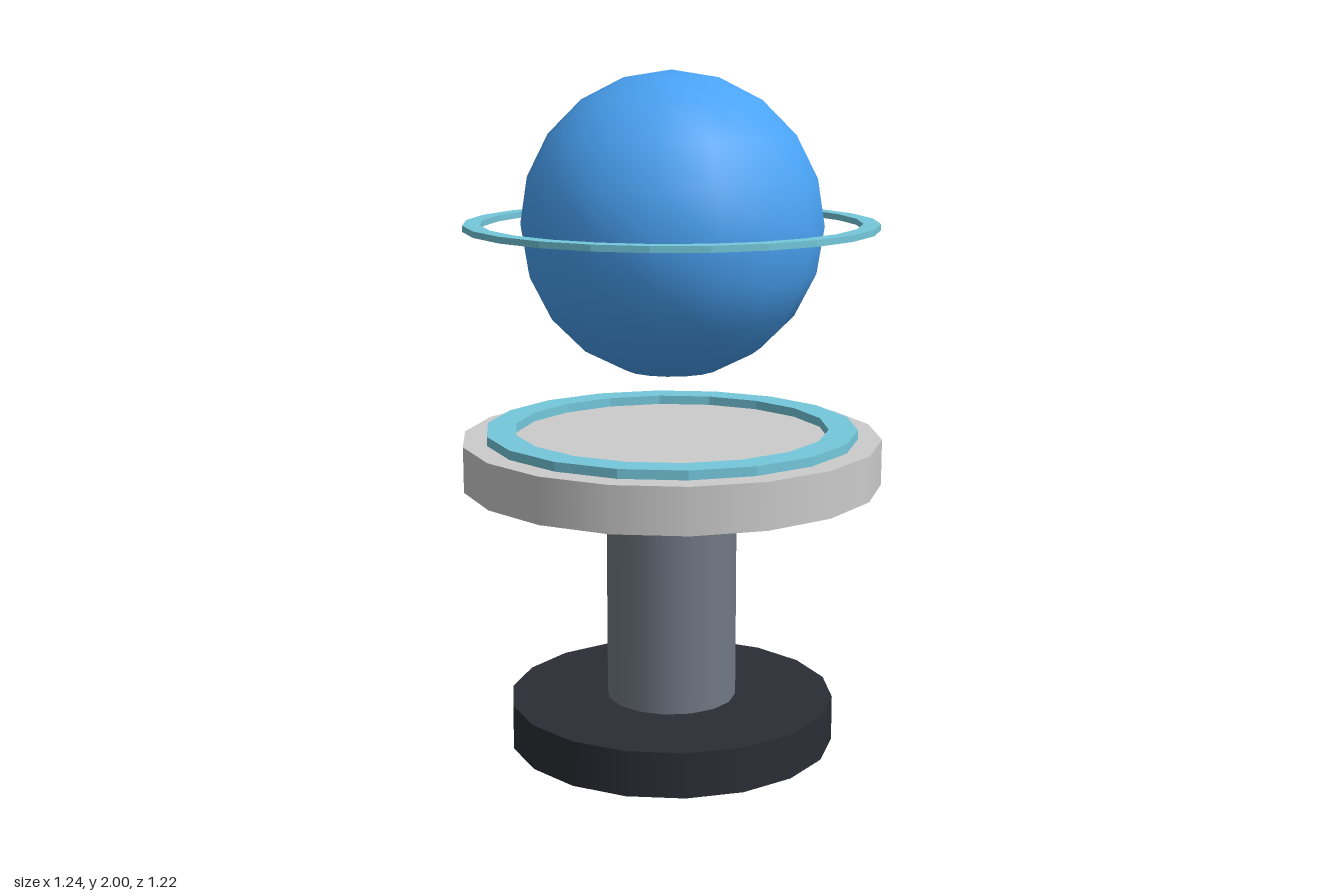
import * as THREE from 'three';

export function createModel() {
  const model = new THREE.Group();

  const add = (name, geometry, color, y) => {
    const mesh = new THREE.Mesh(geometry, new THREE.MeshStandardMaterial({ color }));
    mesh.name = name;
    mesh.position.y = y;
    model.add(mesh);
  };

  // Upright disc or column standing on y = 0, with a corner on the x axis
  const disc = (radius, height, sides) =>
    new THREE.CylinderGeometry(radius, radius, height, sides)
      .rotateY(Math.PI / 2)
      .translate(0, height / 2, 0);

  // Flat ring with a square section lying on y = 0
  const ring = (outer, inner, height, sides) => {
    const shape = new THREE.Shape().absarc(0, 0, outer, 0, Math.PI * 2, false);
    shape.holes.push(new THREE.Path().absarc(0, 0, inner, 0, Math.PI * 2, true));
    // full arcs get twice the curveSegments
    return new THREE.ExtrudeGeometry(shape, {
      depth: height, bevelEnabled: false, curveSegments: sides / 2,
    }).rotateX(-Math.PI / 2);
  };

  // Pedestal
  add('base', disc(0.488, 0.135, 18), 0x2a2e35, 0);
  add('column', disc(0.195, 0.665, 16), 0x707985, 0.135);
  add('platform', disc(0.62, 0.135, 18), 0xcccccc, 0.8);
  add('platformRing', ring(0.55, 0.464, 0.027, 18), 0x74c8dc, 0.935);

  // Floating globe and its orbit ring
  add('globe', new THREE.SphereGeometry(0.442, 16, 10), 0x4aa3f5, 1.558);
  add('orbitRing', ring(0.602, 0.552, 0.018, 24), 0x74c8dc, 1.549);

  return model;
}
